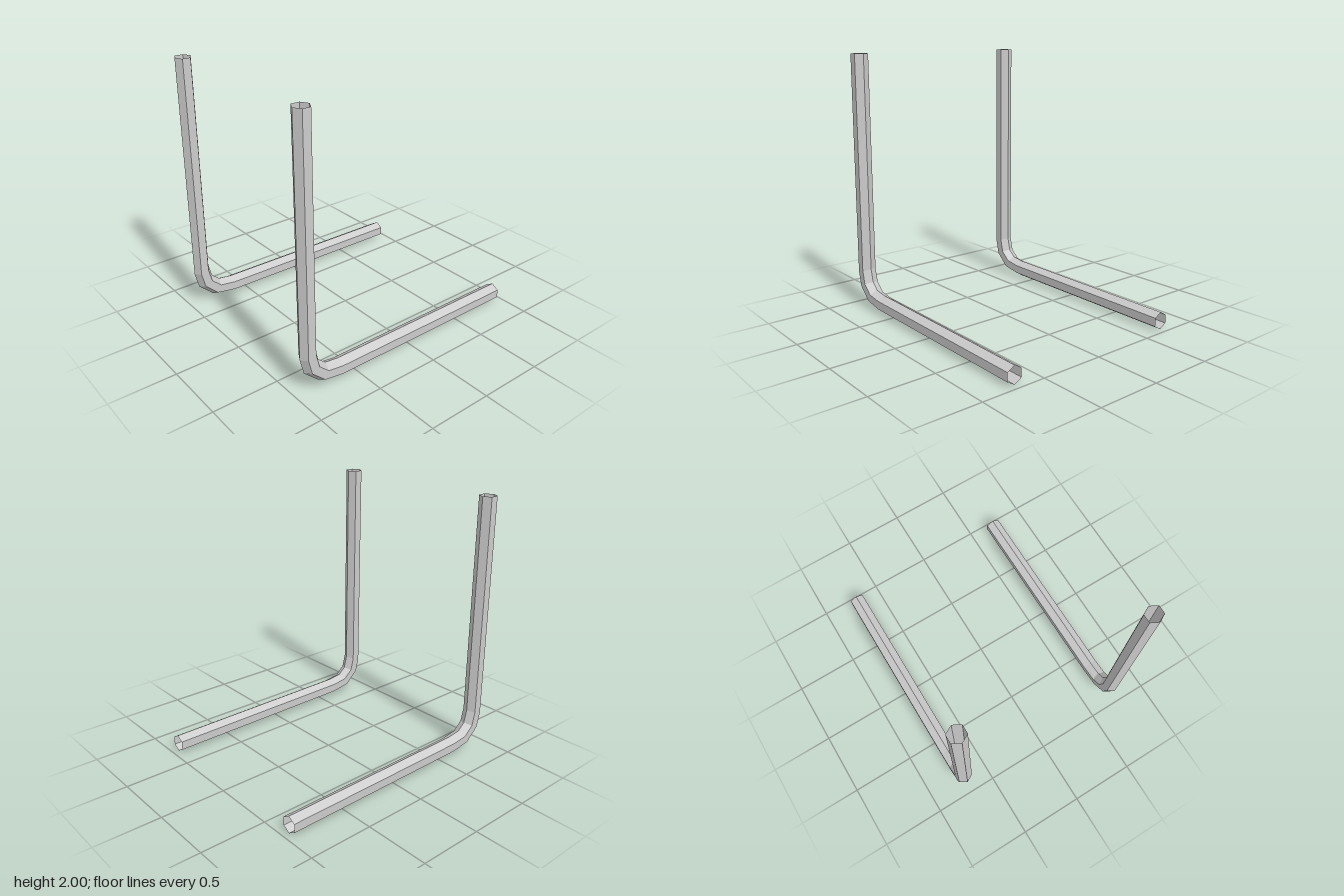
import * as THREE from 'three';

const SIDES = 6;
const HALF_WIDTH = 0.0575;

// Rings of the bent tube: outer [z, y], inner [z, y], sideways shift
const RINGS = [
  [[0.95, 2.0], [0.825, 2.0], -0.005],
  [[0.95, 0.27], [0.825, 0.31], 0],
  [[0.92, 0.15], [0.8, 0.21], 0],
  [[0.8, 0.04], [0.74, 0.157], 0],
  [[0.63, 0.01], [0.63, 0.143], 0],
  [[-0.95, 0.0], [-0.95, 0.133], 0],
];

// Hollow six-sided tube with open ends, skinned across the rings
function tubeGeometry() {
  const positions = [];
  const index = [];
  RINGS.forEach(([outer, inner, shift], r) => {
    for (let i = 0; i < SIDES; i++) {
      const a = (i / SIDES) * Math.PI * 2;
      const t = (1 - Math.cos(a)) / 2; // 0 on the outer ridge, 1 on the inner
      positions.push(
        shift + (Math.sin(a) / Math.sin(Math.PI / 3)) * HALF_WIDTH,
        THREE.MathUtils.lerp(outer[1], inner[1], t),
        THREE.MathUtils.lerp(outer[0], inner[0], t),
      );
      if (r < RINGS.length - 1) {
        const p = r * SIDES + i;
        const q = r * SIDES + ((i + 1) % SIDES);
        index.push(p, p + SIDES, q, q, p + SIDES, q + SIDES);
      }
    }
  });
  const geometry = new THREE.BufferGeometry();
  geometry.setAttribute('position', new THREE.Float32BufferAttribute(positions, 3));
  geometry.setIndex(index);
  const flat = geometry.toNonIndexed();
  flat.computeVertexNormals();
  return flat;
}

export function createModel() {
  const group = new THREE.Group();
  group.name = 'bentTubePair';
  const material = new THREE.MeshStandardMaterial({
    color: 0xcccccc,
    flatShading: true,
    side: THREE.DoubleSide,
  });
  const geometry = tubeGeometry();

  // One bent tube on each side
  for (const [name, x] of [['leftTube', 0.706], ['rightTube', -0.706]]) {
    const tube = new THREE.Mesh(geometry, material);
    tube.name = name;
    tube.position.x = x;
    group.add(tube);
  }
  return group;
}
